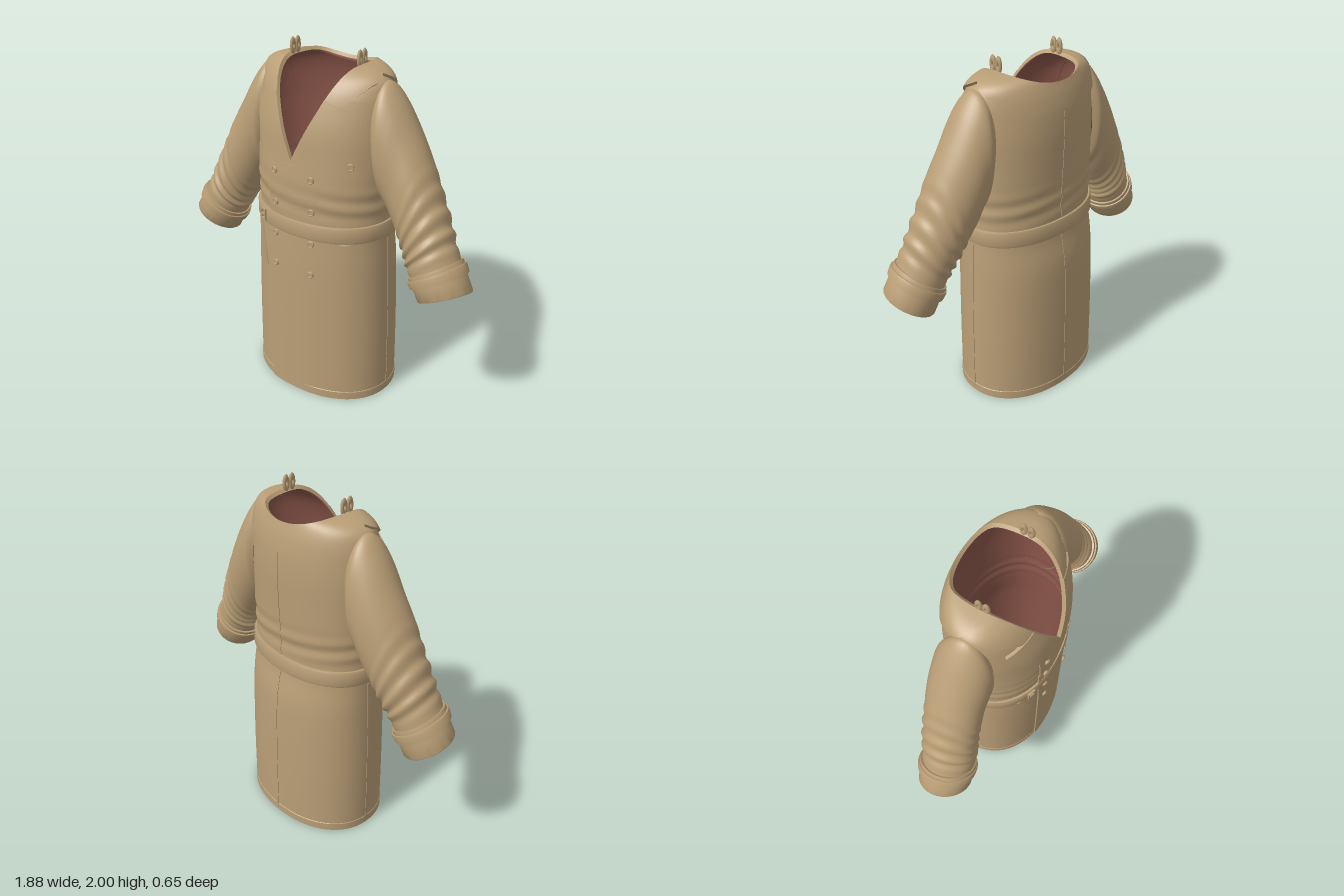
import * as THREE from 'three';
import { toCreasedNormals } from 'three/addons/utils/BufferGeometryUtils.js';

const V3 = (x, y, z) => new THREE.Vector3(x, y, z);
const { clamp, lerp, smoothstep } = THREE.MathUtils;
const TAU = Math.PI * 2;

// Smooth interpolation through a list of equal-length rows
function sample(rows, t) {
  const i = clamp(Math.floor(t), 0, rows.length - 2), f = t - i;
  const r = k => rows[clamp(k, 0, rows.length - 1)];
  return rows[i].map((b, k) => {
    const a = r(i - 1)[k], c = r(i + 1)[k], d = r(i + 2)[k];
    return b + 0.5 * f * (c - a + f * (2 * a - 5 * b + 4 * c - d + f * (3 * (b - c) + d - a)));
  });
}

// Piecewise linear lookup of [key, ...values]
function lookup(pts, key) {
  let i = 0;
  while (i < pts.length - 2 && key > pts[i + 1][0]) i++;
  const f = clamp((key - pts[i][0]) / (pts[i + 1][0] - pts[i][0]), 0, 1);
  return pts[i].slice(1).map((p, k) => lerp(p, pts[i + 1][k + 1], f));
}

// Surface grid; u wraps around when closed
function grid(nu, nv, fn, closed) {
  const pos = [], idx = [], cols = closed ? nu : nu + 1;
  for (let j = 0; j <= nv; j++)
    for (let i = 0; i < cols; i++) pos.push(...fn(i, j).toArray());
  for (let j = 0; j < nv; j++)
    for (let i = 0; i < nu; i++) {
      const a = j * cols + i, b = j * cols + (i + 1) % cols, c = a + cols, d = b + cols;
      idx.push(a, b, d, a, d, c);
    }
  const g = new THREE.BufferGeometry();
  g.setAttribute('position', new THREE.Float32BufferAttribute(pos, 3));
  g.setIndex(idx);
  g.computeVertexNormals();
  return g;
}

function flip(g) {
  const f = g.clone(), a = f.index.array;
  for (let i = 0; i < a.length; i += 3) [a[i], a[i + 1]] = [a[i + 1], a[i]];
  f.computeVertexNormals();
  return f;
}
const mirror = g => flip(g.clone().scale(-1, 1, 1));

// Raised cloth panel whose border tucks into the surface below
function panel(nu, nv, lift, fn) {
  return grid(nu + 2, nv + 2, (i, j) => {
    const edge = i === 0 || j === 0 || i === nu + 2 || j === nv + 2;
    return fn(clamp((i - 1) / nu, 0, 1), clamp((j - 1) / nv, 0, 1), edge ? -0.003 : lift);
  });
}

// Body levels: height, half width, front depth, back depth, roundness
const BODY = [
  [0, 0.435, 0.325, 0.32, 2.15], [0.4, 0.43, 0.322, 0.318, 2.15], [0.8, 0.418, 0.318, 0.306, 2.15],
  [1.0, 0.408, 0.312, 0.275, 2.15], [1.15, 0.403, 0.308, 0.265, 2.15], [1.3, 0.405, 0.312, 0.268, 2.15],
  [1.45, 0.405, 0.3, 0.272, 2.1], [1.6, 0.405, 0.285, 0.275, 2.05], [1.72, 0.4, 0.255, 0.268, 2],
  [1.8, 0.39, 0.22, 0.253, 2], [1.86, 0.365, 0.17, 0.233, 2], [1.895, 0.3, 0.12, 0.22, 2], [1.91, 0.21, 0.09, 0.21, 2]];
const TOP = BODY.length - 1;

function bisect(lo, hi, over) {
  for (let k = 0; k < 30; k++) {
    const m = (lo + hi) / 2;
    if (over(m)) hi = m; else lo = m;
  }
  return lo;
}
const levelAt = y => bisect(0, TOP, l => sample(BODY, l)[0] > y);

// Point on the body; angle 0 is the front, increasing towards +x
function body(ang, level, off = 0) {
  const [y, a, zf, zb, pow] = sample(BODY, level), s = Math.sin(ang), c = Math.cos(ang);
  const fold = 0.005 * Math.sin(y * 62 + 3 * s) * Math.exp(-(((y - 1.22) / 0.08) ** 2));
  const o = off + fold, e = 2 / pow;
  return V3(Math.sign(s) * Math.abs(s) ** e * (a + o), y + off * smoothstep(y, 1.7, 1.9),
    Math.sign(c) * Math.abs(c) ** e * ((c > 0 ? zf : zb) + o));
}
// Point on the front of the body above (x, y)
function front(x, y, off = 0) {
  const l = levelAt(y), row = sample(BODY, l);
  return body(Math.sign(x) * Math.asin(Math.min(1, Math.abs(x) / row[1]) ** (row[4] / 2)), l, off);
}
// Highest level of a column: V opening in front, neckline behind
const neckLevel = ang => bisect(levelAt(1.4), TOP, l => {
  const p = body(ang, l);
  return Math.cos(ang) > 0 ? Math.abs(p.x) < 0.21 * (p.y - 1.45) / 0.46
    : p.y > 1.866 + 0.044 * (p.x / 0.21) ** 2;
});

// Sleeve rings: upper x, y, lower x, y, centre z, half depth, forward tilt
const SLEEVE = [
  [0.335, 1.858, 0.385, 1.26, -0.01, 0.135, 0], [0.39, 1.855, 0.4, 1.225, -0.01, 0.16, 0],
  [0.462, 1.775, 0.425, 1.195, -0.01, 0.162, 0], [0.545, 1.64, 0.455, 1.145, -0.01, 0.16, 0],
  [0.63, 1.49, 0.495, 1.08, 0, 0.158, 0], [0.7, 1.34, 0.535, 1.01, 0.01, 0.155, 0.005],
  [0.77, 1.19, 0.57, 0.95, 0.025, 0.15, 0.012], [0.83, 1.06, 0.6, 0.89, 0.04, 0.143, 0.02],
  [0.928, 0.865, 0.69, 0.745, 0.055, 0.132, 0.03]];
function sleeve(phi, t, off = 0) {
  const [tx, ty, bx, by, zc, zr, tilt] = sample(SLEEVE, t), s = Math.sin(phi);
  const fold = 0.007 * Math.sin(t * 9 + 1.6 * Math.cos(phi - 0.5)) * smoothstep(t, 3.6, 5.5) * (1 - smoothstep(t, 6.7, 7.2));
  const rx = (tx - bx) / 2, ry = (ty - by) / 2, len = Math.hypot(rx, ry);
  const k = Math.cos(phi) * (1 + (off + fold) / len), slide = -s * tilt / len;
  return V3((tx + bx) / 2 + rx * k + ry * slide, (ty + by) / 2 + ry * k - rx * slide, zc + s * (zr + off + fold));
}

export function createModel() {
  const coat = new THREE.Group();
  coat.name = 'coat';
  const cloth = new THREE.MeshStandardMaterial({ color: 0xb99e76 });
  cloth.name = 'tan cloth';
  const lining = new THREE.MeshStandardMaterial({ color: 0x8a564a });
  lining.name = 'russet lining';
  const add = (name, g, mat = cloth) => {
    const m = new THREE.Mesh(g, mat);
    m.name = name;
    coat.add(m);
    return m;
  };
  const addCrisp = (name, g) => add(name, toCreasedNormals(g, 0.7));
  const addPair = (name, g) => { addCrisp(name + 'Left', g); addCrisp(name + 'Right', mirror(g)); };

  // Body shell, and a lining set slightly inside that meets it at the open edges
  const N = 160, LOW = 56, ROWS = 88, chest = levelAt(1.4);
  const tops = Array.from({ length: N }, (_, i) => neckLevel(i / N * TAU));
  const shell = inset => grid(N, ROWS, (i, j) => body(i / N * TAU,
    j <= LOW ? chest * j / LOW : lerp(chest, tops[i], (j - LOW) / (ROWS - LOW)), j % ROWS ? -inset : 0), true);
  add('body', shell(0));
  add('bodyLining', flip(shell(0.006)), lining);

  // Sleeves with lining
  const arm = inset => grid(48, 90, (i, j) => sleeve(i / 48 * TAU, j / 90 * 8, j < 90 ? -inset : 0), true);
  for (const [side, turn] of [['Left', g => g], ['Right', mirror]]) {
    add('sleeve' + side, turn(arm(0)));
    add('sleeveLining' + side, turn(flip(arm(0.007))), lining);
  }
  // Turned cuffs and cuff straps: profiles of [position along sleeve, lift]
  const band = prof => grid(48, prof.length - 1, (i, j) => sleeve(i / 48 * TAU, ...prof[j]), true);
  addPair('cuff', band([[7.2, -0.004], [7.2, 0.01], [7.3, 0.014], [7.6, 0.01], [7.95, 0.013], [8, 0.01], [8, 0]]));
  addPair('cuffStrap', band([[7.28, 0], [7.3, 0.021], [7.36, 0.024], [7.5, 0.022], [7.52, 0]]));

  // Belt and hem: profiles of [height, lift]
  const hoop = prof => grid(96, prof.length - 1, (i, j) => body(i / 96 * TAU, levelAt(prof[j][0]), prof[j][1]), true);
  addCrisp('belt', hoop([[1.02, -0.003], [1.02, 0.01], [1.03, 0.014], [1.1, 0.014], [1.11, 0.01], [1.11, -0.003]]));
  addCrisp('hem', hoop([[0.002, -0.002], [0.004, 0.003], [0.05, 0.003], [0.055, -0.002]]));

  // Buckle frame and prong
  const corners = [[-1, -1], [1, -1], [1, 1], [-1, 1]];
  const rect = (w, h) => corners.map(([x, y]) => new THREE.Vector2(x * w, y * h));
  const frame = new THREE.Shape(rect(0.024, 0.034));
  frame.holes.push(new THREE.Path(rect(0.015, 0.024).reverse()));
  const buckle = add('buckle', new THREE.ExtrudeGeometry(frame, { depth: 0.012, bevelEnabled: false }));
  buckle.position.copy(front(-0.22, 1.065, 0.012));
  buckle.rotation.y = -0.35;
  const prong = new THREE.Mesh(new THREE.BoxGeometry(0.034, 0.007, 0.012), cloth);
  prong.name = 'buckleProng';
  prong.position.z = 0.008;
  buckle.add(prong);

  // Overlapping front edge, fading out towards the far side
  addCrisp('frontOverlap', panel(16, 60, 0.009, (u, v, o) =>
    front(lerp(-0.165, 0.17, u), lerp(0.004, 1.42, v), o > 0 ? o * (1 - u) : o)));

  // Lapels: inner edge on the opening, outer edge through a few points
  const lapelEdge = [[0, 0.11, 1.4], [0.25, 0.2, 1.47], [0.62, 0.27, 1.6], [1, 0.305, 1.725]];
  addPair('lapel', panel(12, 20, 0.017, (u, v, o) => {
    const [x, y] = lookup(lapelEdge, v);
    return front(lerp(0.147 * v, x, u), lerp(lerp(1.45, 1.772, v), y, u), o);
  }));

  // Collar running round the back: lower edge as [degrees from front, height]
  const collarEdge = [[20, 1.765], [32, 1.745], [60, 1.84], [90, 1.885], [115, 1.83], [135, 1.75], [180, 1.742]];
  addCrisp('collar', panel(100, 12, 0.013, (u, v, o) => {
    const deg = lerp(20, 340, u), ang = deg * Math.PI / 180, top = neckLevel(ang);
    const low = Math.min(top, levelAt(lookup(collarEdge, Math.min(deg, 360 - deg))[0]));
    return body(ang, lerp(low, top, v), o);
  }));

  // Chest flap on the left
  addCrisp('chestFlap', panel(12, 12, 0.008, (u, v, o) =>
    front(lerp(lerp(0.13, 0.2, v), lerp(0.37, 0.335, v), u), lerp(lerp(1.39, 1.44, u), 1.78, v), o)));

  // Slanted pocket welts with a raised centre fold
  for (const [name, half, lift] of [['pocketWelt', 0.021, 0.008], ['pocketFold', 0.008, 0.012]])
    addPair(name, panel(3, 10, lift, (u, v, o) =>
      front(lerp(0.222, 0.285, v) + (u * 2 - 1) * half, lerp(0.752, 1.012, v), o)));

  // Side and back seams
  for (const [name, ang, y] of [['sideSeamLeft', 0.25, 1.0], ['sideSeamRight', 0.75, 1.0], ['backSeam', 0.5, 1.72]])
    addCrisp(name, panel(2, 60, 0.003, (u, v, o) => body(ang * TAU + (u - 0.5) * 0.025, levelAt(lerp(0.01, y, v)), o)));

  // Buttons: disc with a raised rim
  const disc = new THREE.CylinderGeometry(0.017, 0.019, 0.01, 20).rotateX(Math.PI / 2);
  const rim = new THREE.TorusGeometry(0.015, 0.004, 8, 20).translate(0, 0, 0.004);
  const spots = [1.365, 1.18, 0.995, 0.81].flatMap(y => [[-0.115, y], [0.12, y]]);
  for (const [x, y] of [...spots, [0.3, 1.455]]) {
    const b = new THREE.Group();
    b.name = 'button';
    b.add(new THREE.Mesh(disc, cloth), new THREE.Mesh(rim, cloth));
    b.children.forEach((m, i) => { m.name = ['buttonDisc', 'buttonRim'][i]; });
    b.position.copy(front(x, y, 0.01));
    b.rotation.y = x * 1.6;
    coat.add(b);
  }

  // Small upright loops beside the neck
  const loop = new THREE.TorusGeometry(0.012, 0.009, 8, 16).rotateY(Math.PI / 2).scale(1, 2.3, 1);
  for (const x of [-0.216, 0.216])
    for (const z of [-0.02, 0.02]) add('neckLoop', loop).position.set(x, 1.9515, z);

  return coat;
}
